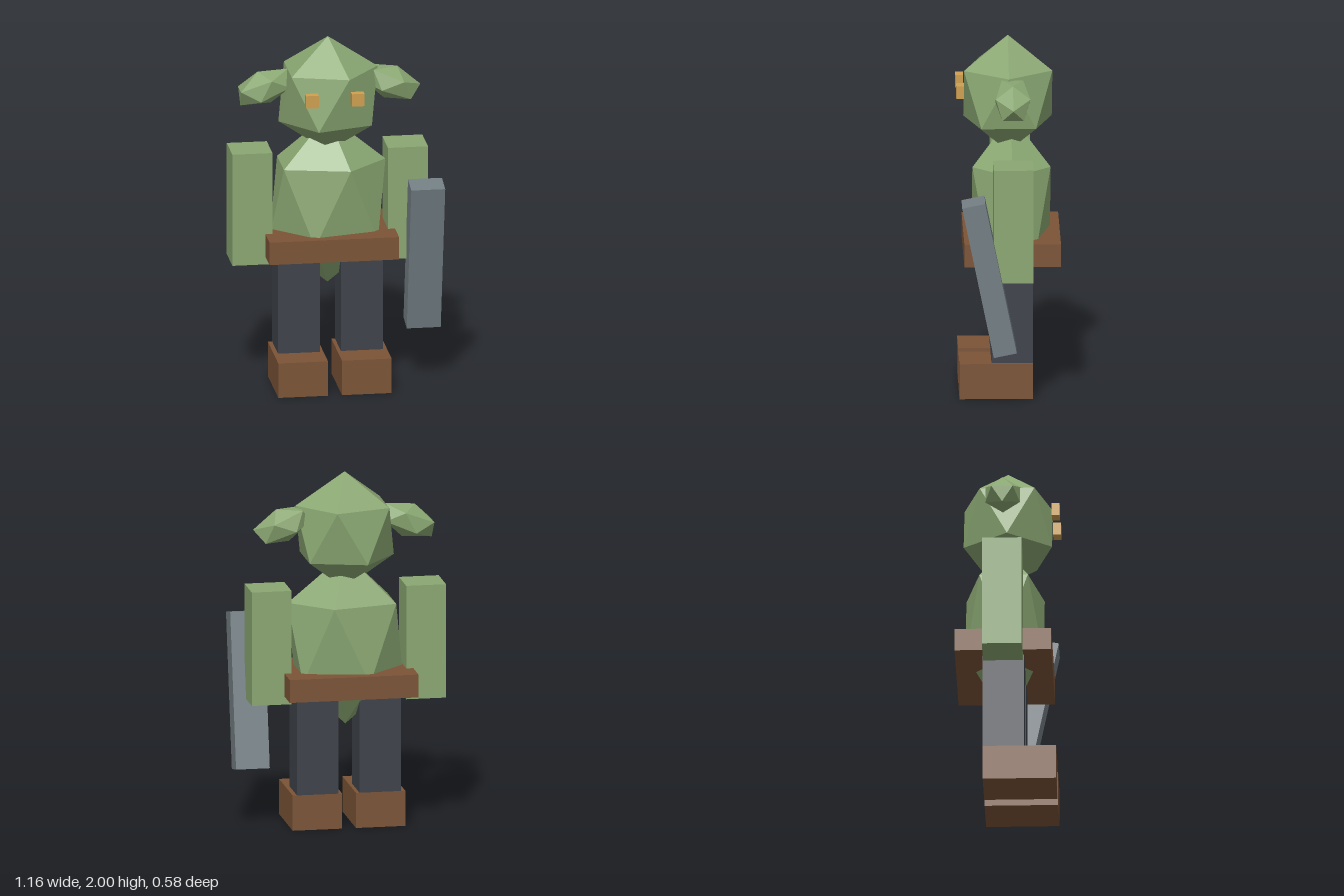
import * as THREE from 'three';
import { ConvexGeometry } from 'three/addons/geometries/ConvexGeometry.js';

const CX = -0.037; // the body's own symmetry plane

const paint = (color) => new THREE.MeshStandardMaterial({ color, flatShading: true });
const skin = paint(0x8aa772);
const leather = paint(0x7b5437);
const cloth = paint(0x3e424a);
const steel = paint(0x737e83);
const gold = paint(0xcfa04f);

// Icosahedron standing on one corner, stretched to the radii rx, ry, rz
function gem(rx, ry, rz) {
  const points = [new THREE.Vector3(0, ry, 0), new THREE.Vector3(0, -ry, 0)];
  const ring = 2 / Math.sqrt(5), h = 1 / Math.sqrt(5);
  for (let i = 0; i < 10; i++) {
    const a = (i * Math.PI) / 5;
    points.push(new THREE.Vector3(
      ring * rx * Math.cos(a), (i % 2 ? -h : h) * ry, ring * rz * Math.sin(a)));
  }
  return new ConvexGeometry(points);
}

export function createModel() {
  const model = new THREE.Group();
  model.name = 'goblin';

  const add = (name, geometry, material, x, y, z) => {
    const mesh = new THREE.Mesh(geometry, material);
    mesh.name = name;
    mesh.position.set(x, y, z);
    model.add(mesh);
    return mesh;
  };
  const box = (name, material, size, x, y, z) =>
    add(name, new THREE.BoxGeometry(...size), material, x, y, z);

  // Faceted torso and head
  add('torso', gem(0.363, 0.484, 0.255), skin, CX, 1.054, -0.018);
  add('head', gem(0.31, 0.333, 0.288), skin, CX, 1.668, 0);

  // Belt
  box('belt', leather, [0.725, 0.13, 0.535], CX, 0.83, -0.019);

  // Paired parts
  for (const [side, s] of [['left', 1], ['right', -1]]) {
    const ear = add(side + 'Ear', gem(0.18, 0.098, 0.113), skin, CX + s * 0.354, 1.715, -0.02);
    ear.rotation.z = -s * 0.384; // drooping outwards
    box(side + 'Eye', gold, [0.072, 0.072, 0.044], CX + s * 0.128, 1.713, 0.267);
    box(side + 'Arm', skin, [0.224, 0.645, 0.22], CX + s * 0.435, 1.042, -0.02);
    box(side + 'Leg', cloth, [0.234, 0.63, 0.23], CX + s * 0.176, 0.515, -0.018);
    box(side + 'Boot', leather, [0.278, 0.2, 0.407], CX + s * 0.178, 0.1, 0.071);
  }

  // Plain blade leaning forward beside the left arm
  const blade = box('blade', steel, [0.19, 0.873, 0.13], 0.486, 0.753, 0.115);
  blade.rotation.x = 0.202;

  return model;
}
